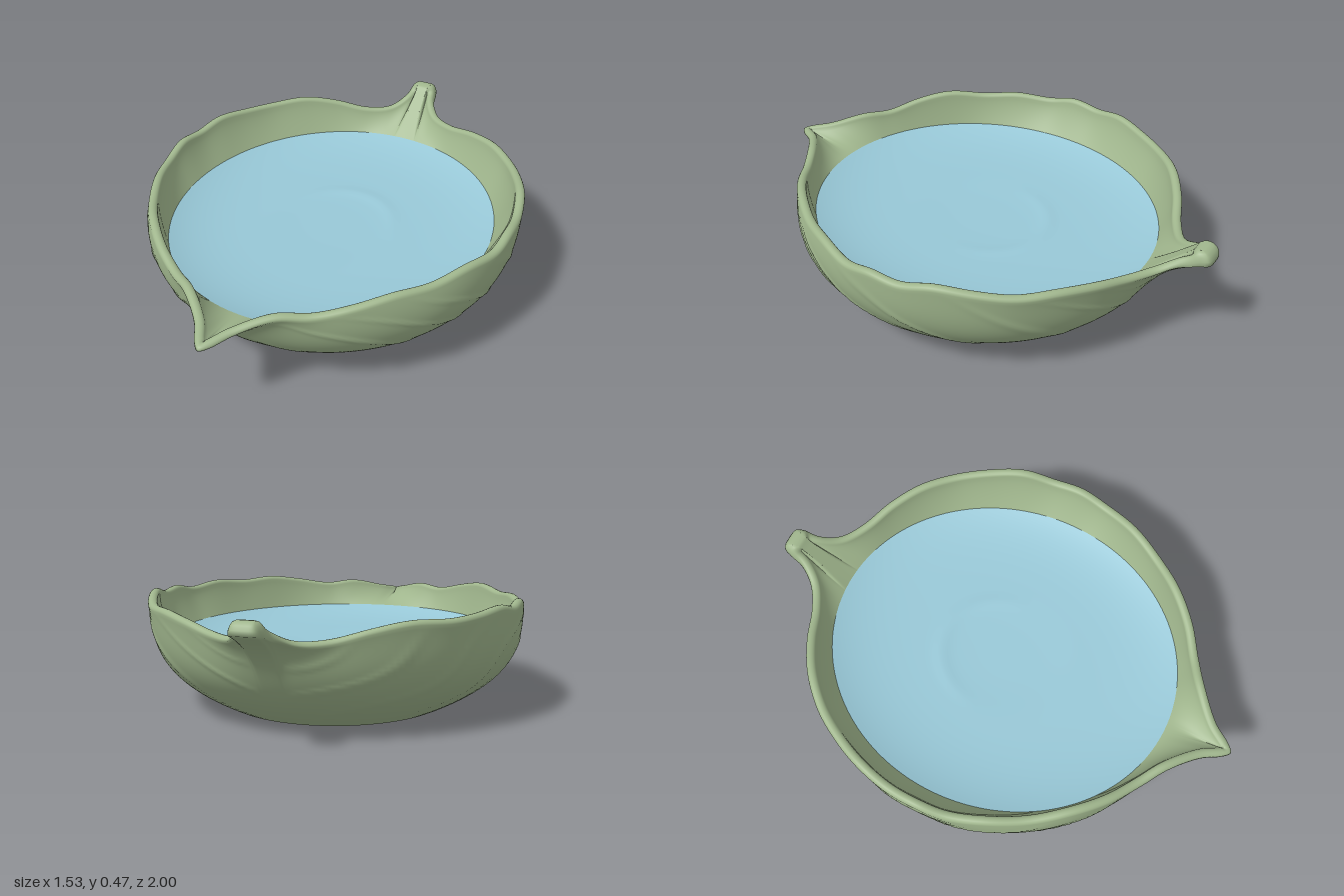
import * as THREE from 'three';

const N = 320; // samples around the bowl

// Half outline of the rim from front tip to back handle: x, y, z
const HALF = [
  [0, 0.345, 1.0], [0.03, 0.35, 0.975], [0.08, 0.365, 0.9], [0.19, 0.395, 0.8],
  [0.29, 0.39, 0.735], [0.41, 0.415, 0.655], [0.52, 0.43, 0.55], [0.62, 0.418, 0.42],
  [0.7, 0.436, 0.27], [0.75, 0.428, 0.12], [0.763, 0.445, 0], [0.755, 0.432, -0.13],
  [0.725, 0.455, -0.26], [0.67, 0.45, -0.39], [0.59, 0.442, -0.52], [0.48, 0.44, -0.63],
  [0.35, 0.415, -0.715], [0.22, 0.388, -0.775], [0.125, 0.392, -0.835], [0.075, 0.43, -0.9],
  [0.06, 0.468, -0.96], [0.045, 0.473, -0.993], [0, 0.474, -1.0],
];

function rimSamples() {
  const right = HALF.map(p => new THREE.Vector3(...p));
  const left = right.slice(1, -1).reverse().map(p => new THREE.Vector3(-p.x, p.y, p.z));
  const curve = new THREE.CatmullRomCurve3([...right, ...left], true, 'centripetal');
  return Array.from({ length: N }, (_, i) => {
    const p = curve.getPoint(i / N);
    const t = curve.getTangent(i / N).setY(0).normalize();
    const angle = Math.atan2(p.x, p.z);
    const tip = THREE.MathUtils.smoothstep(Math.hypot(p.x, p.z), 0.74, 0.98);
    const knob = THREE.MathUtils.smoothstep(-p.z, 0.85, 0.97);
    // small uneven ripples keep the two sides from being identical
    p.y += 0.006 * Math.sin(angle * 7 + 1) * (1 - tip);
    // inner edge of the lip, offset towards the inside of the outline
    const inner = new THREE.Vector3(p.x + t.z * 0.038, p.y, p.z - t.x * 0.038);
    if (inner.x * p.x <= 0) inner.x = 0;
    inner.z = THREE.MathUtils.clamp(inner.z, -0.92, 0.955);
    return { p, inner, angle, tip, lip: 0.018 + 0.03 * knob };
  });
}

// Point on an ellipse at the given angle from +z towards +x
function ellipse(angle, rx, rz, y) {
  const k = 1 / Math.hypot(Math.sin(angle) / rx, Math.cos(angle) / rz);
  return new THREE.Vector3(k * Math.sin(angle), y, k * Math.cos(angle));
}

// Closed rings of points joined into one smooth surface
function loft(rings, material, name) {
  const positions = [], index = [];
  rings.forEach(ring => ring.forEach(v => positions.push(v.x, v.y, v.z)));
  for (let r = 0; r < rings.length - 1; r++) {
    for (let i = 0; i < N; i++) {
      const a = r * N + i, b = r * N + (i + 1) % N;
      index.push(a, b, a + N, b, b + N, a + N);
    }
  }
  const geometry = new THREE.BufferGeometry();
  geometry.setAttribute('position', new THREE.Float32BufferAttribute(positions, 3));
  geometry.setIndex(index);
  geometry.computeVertexNormals();
  const mesh = new THREE.Mesh(geometry, material);
  mesh.name = name;
  return mesh;
}

// Slanted leaf veins, sweeping back as they descend
function vein(angle, h) {
  const phase = (Math.abs(angle) + 1.1 * h + 0.12 * Math.sin(h * 5 + angle * 3)) * 2.2;
  const f = phase - Math.floor(phase) - 0.5;
  return 0.006 * Math.exp(-((f * 12) ** 2)) * Math.sin(Math.PI * h);
}

export function createModel() {
  const leafGreen = new THREE.MeshStandardMaterial({ color: 0xa0b68d });
  leafGreen.name = 'leafGreen';
  const waterBlue = new THREE.MeshStandardMaterial({ color: 0x98c8d7 });
  waterBlue.name = 'waterBlue';

  const rim = rimSamples();
  const steps = n => Array.from({ length: n + 1 }, (_, i) => i / n);
  const base = s => ellipse(s.angle, 0.46, 0.48, 0);
  const shore = s => ellipse(s.angle, 0.655, 0.73, 0.285);
  const lipDrop = 0.015;

  // Outer wall: an oval bowl whose upper edge is drawn out to the leaf outline
  const outer = steps(32).map(h => rim.map(s => {
    const body = ellipse(s.angle, 0.76, 0.78, 0);
    const v = base(s).lerp(body, 1 - (1 - h) ** 3);
    v.addScaledVector(s.p.clone().sub(body), h ** 5);
    v.y = h * THREE.MathUtils.lerp(0.42, s.p.y - s.lip, h * h);
    const d = vein(s.angle, h) * (1 - s.tip);
    v.x += d * Math.sin(s.angle);
    v.z += d * Math.cos(s.angle);
    return v;
  }));

  // Rounded lip, swelling into a solid knob at the back
  const lip = steps(8).slice(1).map(t => rim.map(s => {
    const v = s.p.clone().lerp(s.inner, (1 - Math.cos(Math.PI * t)) / 2);
    const drop = t < 0.5 ? s.lip : lipDrop;
    v.y = s.p.y - drop * (1 - Math.sin(Math.PI * t));
    return v;
  }));

  // Inner wall down to the water's edge
  const inside = steps(10).slice(1).map(t => rim.map(s => {
    const v = s.inner.clone().lerp(shore(s), THREE.MathUtils.lerp(t ** 1.4, t, s.tip));
    v.y = THREE.MathUtils.lerp(s.p.y - lipDrop, 0.285, t);
    return v;
  }));

  // Water: shallow dish with a faint ripple behind the middle
  const water = steps(36).map(t => rim.map(s => {
    const r = 1 - t;
    const v = shore(s).multiplyScalar(r);
    const back = Math.max(0, -Math.cos(s.angle));
    v.y = 0.235 + 0.05 * r ** 5 - 0.005 * Math.exp(-((r * 3) ** 4))
      + 0.005 * back * Math.exp(-(((r - 0.37) * 25) ** 2));
    return v;
  }));

  const bottom = steps(1).map(t => rim.map(s => base(s).multiplyScalar(t)));

  const group = new THREE.Group();
  group.name = 'leafBowl';
  group.add(
    loft([...outer, ...lip, ...inside], leafGreen, 'leafShell'),
    loft(bottom, leafGreen, 'flatBase'),
    loft(water, waterBlue, 'water'),
  );
  return group;
}
